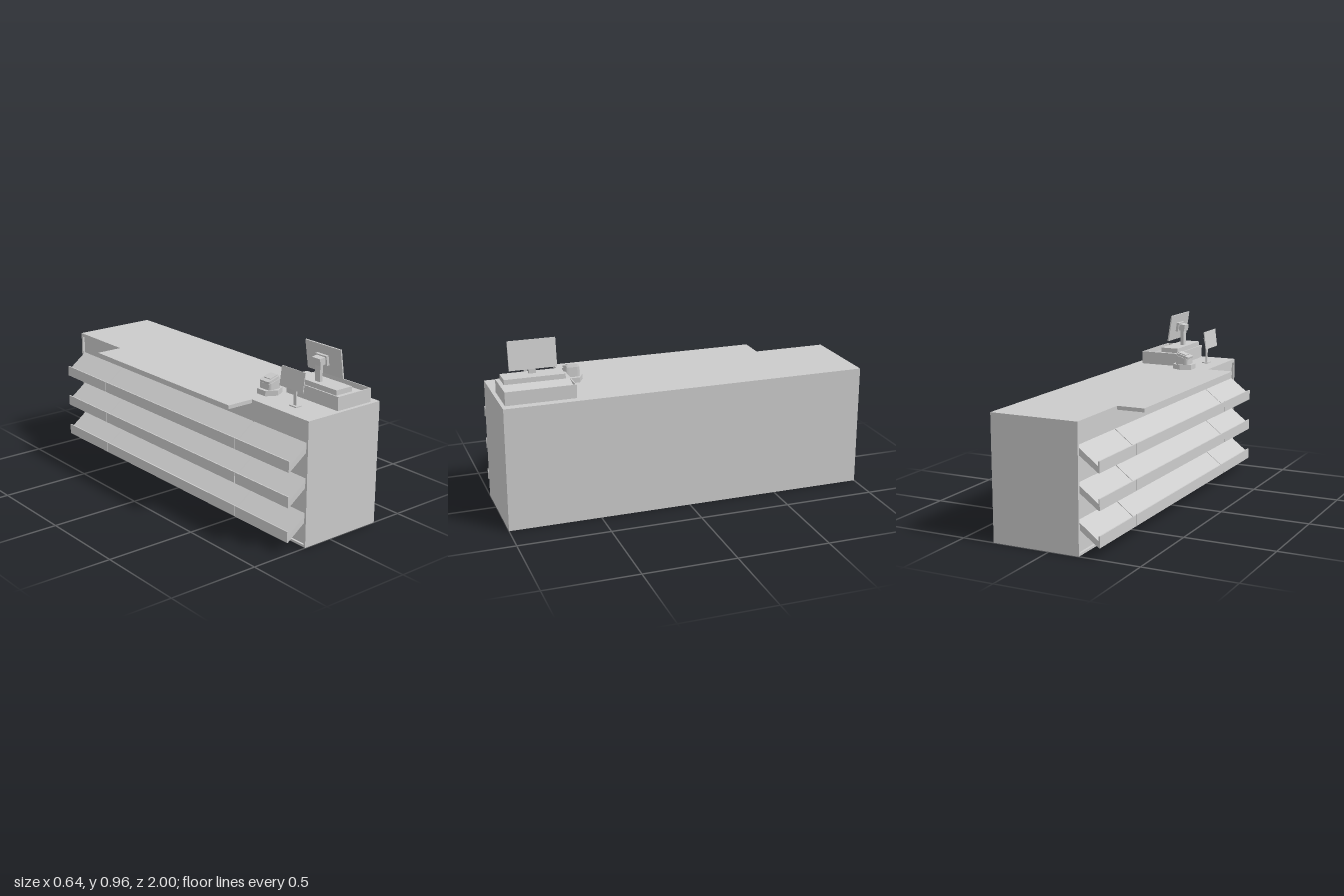
import * as THREE from 'three';

const material = new THREE.MeshStandardMaterial({ color: 0xcccccc, flatShading: true });

function add(parent, name, geometry, x = 0, y = 0, z = 0, tilt = 0) {
  const mesh = new THREE.Mesh(geometry, material);
  mesh.name = name;
  mesh.position.set(x, y, z);
  mesh.rotation.z = tilt;
  parent.add(mesh);
  return mesh;
}

// Box given by its limits on each axis
function block(parent, name, [x0, x1], [y0, y1], [z0, z1]) {
  return add(parent, name, new THREE.BoxGeometry(x1 - x0, y1 - y0, z1 - z0),
    (x0 + x1) / 2, (y0 + y1) / 2, (z0 + z1) / 2);
}

const shapeOf = (points) => new THREE.Shape(points.map(([x, y]) => new THREE.Vector2(x, y)));

// Profile in x and y, extruded from z0 to z1
function extrude(shape, z0, z1) {
  return new THREE.ExtrudeGeometry(shape, { depth: z1 - z0, bevelEnabled: false, curveSegments: 3 })
    .translate(0, 0, z0);
}

const rectangle = (x0, x1, y0, y1) => [[x0, y0], [x1, y0], [x1, y1], [x0, y1]];

function roundedSquare(w, d, r) {
  const s = new THREE.Shape();
  s.moveTo(-w + r, -d);
  s.lineTo(w - r, -d).quadraticCurveTo(w, -d, w, -d + r);
  s.lineTo(w, d - r).quadraticCurveTo(w, d, w - r, d);
  s.lineTo(-w + r, d).quadraticCurveTo(-w, d, -w, d - r);
  s.lineTo(-w, -d + r).quadraticCurveTo(-w, -d, -w + r, -d);
  return s;
}

function createCounter() {
  const g = new THREE.Group();
  g.name = 'counter';
  block(g, 'counterBody', [-0.155, 0.32], [0, 0.67], [-1, 1]);
  // Thin frame around the recessed shelf side
  const frame = shapeOf(rectangle(-1, 1, 0, 0.67));
  frame.holes.push(new THREE.Path(shapeOf(rectangle(-0.988, 0.988, 0.012, 0.65)).getPoints().reverse()));
  add(g, 'shelfFrame', extrude(frame, 0, 0.013).rotateY(-Math.PI / 2), -0.155);
  block(g, 'servingLedge', [-0.32, -0.167], [0.65, 0.67], [-0.59, 0.58]);
  return g;
}

// Three rows of sloping shelves with an upright lip, in three sections
function createShelves() {
  const g = new THREE.Group();
  g.name = 'displayShelves';
  const profile = shapeOf([
    [-0.155, 0.512], [-0.155, 0.55], [-0.271, 0.462], [-0.271, 0.486],
    [-0.278, 0.486], [-0.278, 0.427], [-0.272, 0.427],
  ]);
  const sections = [[-0.988, -0.592], [-0.587, 0.578], [0.583, 0.986]];
  for (let row = 0; row < 3; row++) {
    for (const [z0, z1] of sections) add(g, 'shelf', extrude(profile, z0, z1), 0, -0.186 * row, 0);
  }
  return g;
}

function createRegister() {
  const g = new THREE.Group();
  g.name = 'cashRegister';
  // Drawer with a sloping keyboard bed between thin side walls
  const bed = shapeOf([
    [0.045, 0.67], [0.275, 0.67], [0.275, 0.743], [0.269, 0.743],
    [0.269, 0.716], [0.16, 0.743], [0.045, 0.743],
  ]);
  add(g, 'drawer', extrude(bed, 0.611, 0.974));
  for (const z of [0.605, 0.974]) block(g, 'drawerSide', [0.045, 0.275], [0.67, 0.743], [z, z + 0.006]);
  block(g, 'standBase', [0.053, 0.16], [0.743, 0.77], [0.632, 0.958]);
  block(g, 'screenPost', [0.08, 0.098], [0.77, 0.868], [0.775, 0.812]);
  add(g, 'screenHinge', new THREE.BoxGeometry(0.036, 0.038, 0.06), 0.086, 0.878, 0.793, 0.13);
  add(g, 'screenMount', new THREE.BoxGeometry(0.016, 0.052, 0.08), 0.111, 0.881, 0.793, 0.13);
  add(g, 'screen', new THREE.BoxGeometry(0.008, 0.154, 0.254), 0.122, 0.882, 0.797, 0.15);
  return g;
}

function createCustomerDisplay() {
  const g = new THREE.Group();
  g.name = 'customerDisplay';
  block(g, 'displayBase', [-0.086, -0.05], [0.67, 0.676], [0.768, 0.82]);
  block(g, 'displayPost', [-0.071, -0.063], [0.676, 0.808], [0.784, 0.802]);
  add(g, 'displayHinge', new THREE.BoxGeometry(0.023, 0.023, 0.03), -0.066, 0.813, 0.793, -0.13);
  add(g, 'displayMount', new THREE.BoxGeometry(0.012, 0.034, 0.048), -0.083, 0.815, 0.793, -0.13);
  add(g, 'displayPanel', new THREE.BoxGeometry(0.005, 0.104, 0.17), -0.09, 0.816, 0.795, -0.13);
  return g;
}

function createTerminal() {
  const g = new THREE.Group();
  g.name = 'cardTerminal';
  g.position.set(-0.025, 0.67, 0.555);
  // Six-sided foot with pointed ends along z
  const foot = add(g, 'terminalFoot', new THREE.CylinderGeometry(0.064, 0.064, 0.028, 6), 0, 0.014, 0);
  foot.scale.x = 1.07;
  // Rounded body whose top is sheared into a slope
  const body = extrude(roundedSquare(0.04, 0.042, 0.018), 0, 0.05).rotateX(-Math.PI / 2);
  const p = body.attributes.position;
  for (let i = 0; i < p.count; i++) {
    if (p.getY(i) > 0.01) p.setY(i, 0.045 + 0.28 * p.getX(i));
  }
  body.computeVertexNormals();
  add(g, 'terminalBody', body, 0, 0.026, 0);
  // Tilted head with a raised pad
  add(g, 'terminalHead', extrude(roundedSquare(0.04, 0.037, 0.012), 0, 0.016).rotateX(-Math.PI / 2),
    0, 0.068, 0, 0.28);
  add(g, 'terminalPad', new THREE.BoxGeometry(0.05, 0.008, 0.05), 0.005, 0.087, 0, 0.28);
  return g;
}

export function createModel() {
  const model = new THREE.Group();
  model.name = 'checkoutCounter';
  model.add(createCounter(), createShelves(), createRegister(), createCustomerDisplay(), createTerminal());
  return model;
}
